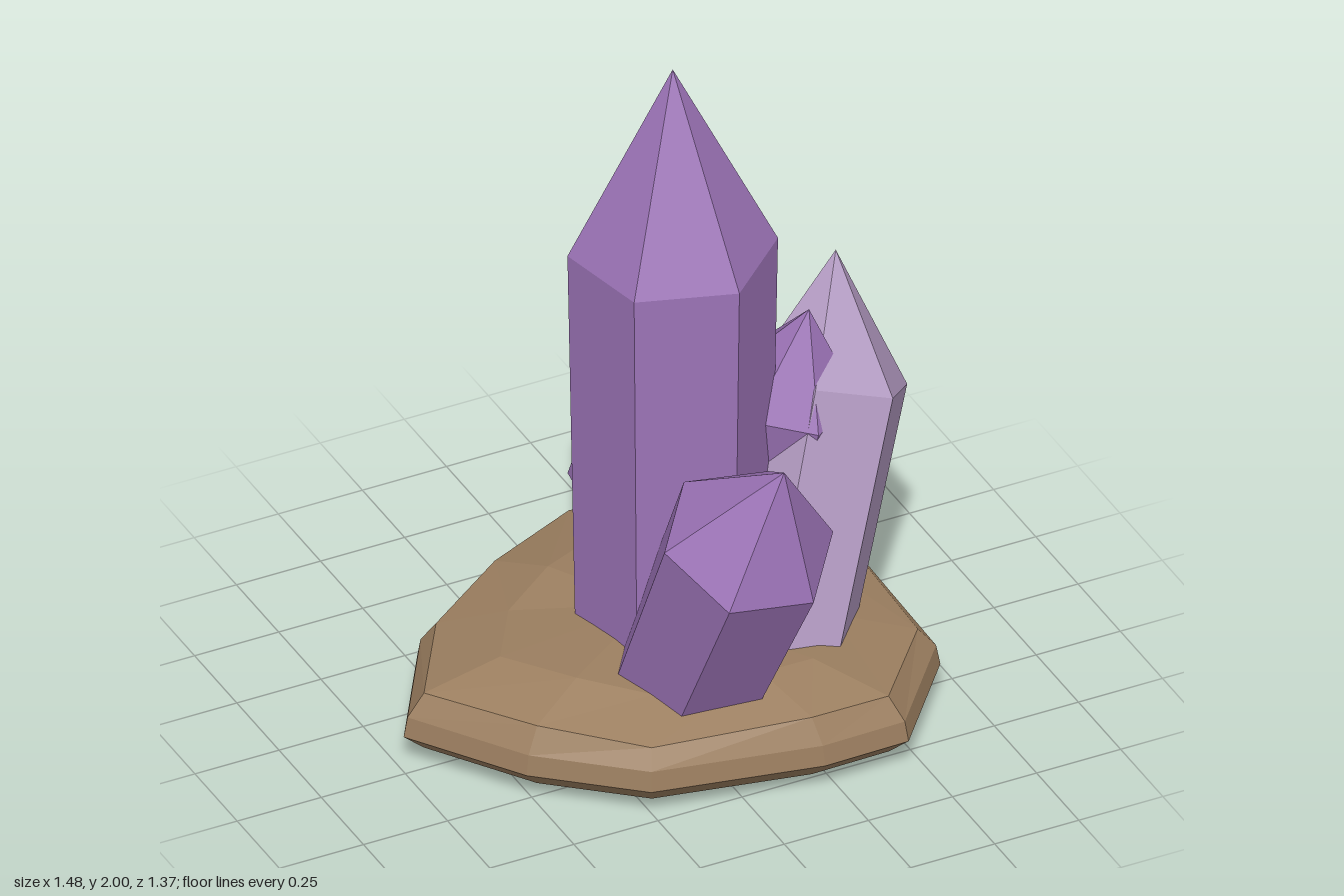
import * as THREE from 'three';

const V = (a) => new THREE.Vector3(...a);

// Skin closed rings of equal length, with a point closing each end
function loft(rings, bottom, top, material) {
  const pos = [], n = rings[0].length;
  const tri = (...pts) => pts.forEach((p) => pos.push(p.x, p.y, p.z));
  for (let i = 0; i < n; i++) {
    const j = (i + 1) % n;
    tri(bottom, rings[0][j], rings[0][i]);
    for (let k = 0; k + 1 < rings.length; k++) {
      const a = rings[k], b = rings[k + 1];
      tri(a[i], a[j], b[j]);
      tri(a[i], b[j], b[i]);
    }
    const t = rings[rings.length - 1];
    tri(t[i], t[j], top);
  }
  const geo = new THREE.BufferGeometry();
  geo.setAttribute('position', new THREE.Float32BufferAttribute(pos, 3));
  geo.computeVertexNormals(); // unshared corners give flat faces
  return new THREE.Mesh(geo, material);
}

// Six-sided pointed crystal; corner is the direction from the axis to one edge
function crystal({ name, foot, shoulder, apex, r0, r1, corner, material }) {
  const a = V(foot), b = V(shoulder);
  const axis = b.clone().sub(a).normalize();
  const u = V(corner).projectOnPlane(axis).normalize();
  const ring = (c, r) => Array.from({ length: 6 }, (_, i) =>
    c.clone().addScaledVector(u.clone().applyAxisAngle(axis, (i * Math.PI) / 3), r));
  const mesh = loft([ring(a, r0), ring(b, r1)], a, V(apex), material);
  mesh.name = name;
  return mesh;
}

export function createModel() {
  const purple = new THREE.MeshStandardMaterial({ color: 0x9d74b8 });
  purple.name = 'purple crystal';
  const pale = new THREE.MeshStandardMaterial({ color: 0xb199c0 });
  pale.name = 'pale crystal';
  const brown = new THREE.MeshStandardMaterial({ color: 0x9c7f60 });
  brown.name = 'brown rock';

  const group = new THREE.Group();
  group.name = 'crystalCluster';

  // Rock slab: one irregular outline, scaled at each level
  const outline = [
    [-0.74, -0.03], [-0.53, 0.28], [-0.27, 0.5], [0.2, 0.595], [0.45, 0.59], [0.69, 0.3],
    [0.7, -0.37], [0.44, -0.62], [0.06, -0.69], [-0.26, -0.53], [-0.54, -0.35],
  ];
  const levels = [[0.05, 0.92], [0.1, 1], [0.16, 0.985], [0.225, 0.92], [0.28, 0.62]];
  const rings = levels.map(([y, s], k) => outline.map(([x, z], i) =>
    new THREE.Vector3(x * s, y + (k > 2 ? 0.012 * Math.sin(i * 2.3) : 0), z * s)));
  const rock = loft(rings, V([0, 0.05, 0]), V([0, 0.29, -0.05]), brown);
  rock.name = 'rockBase';
  group.add(rock);

  // Crystals
  [
    { name: 'mainCrystal', foot: [0.06, 0.1, -0.03], shoulder: [0.06, 1.43, -0.03],
      apex: [0.06, 2, -0.03], r0: 0.26, r1: 0.283, corner: [-0.06, 0, -0.28], material: purple },
    { name: 'frontCrystal', foot: [-0.01, 0.12, 0.15], shoulder: [0.03, 0.8, 0.48],
      apex: [0.07, 1.09, 0.61], r0: 0.21, r1: 0.242, corner: [0.24, -0.03, 0.02], material: purple },
    { name: 'paleCrystal', foot: [0.26, 0.12, 0.17], shoulder: [0.53, 0.87, -0.035],
      apex: [0.6, 1.19, -0.14], r0: 0.2, r1: 0.222, corner: [0.2, -0.06, 0.04], material: pale },
    { name: 'innerCrystal', foot: [0.35, 0.045, -0.23], shoulder: [0.4, 0.89, -0.01],
      apex: [0.43, 1.16, 0.04], r0: 0.165, r1: 0.185, corner: [0.02, 0, -1], material: purple },
    { name: 'backCrystal', foot: [0.37, 0.16, -0.22], shoulder: [0.04, 0.66, -0.2],
      apex: [-0.1, 0.84, -0.2], r0: 0.2, r1: 0.212, corner: [0.17, 0.1, -0.08], material: purple },
  ].forEach((c) => group.add(crystal(c)));

  return group;
}
